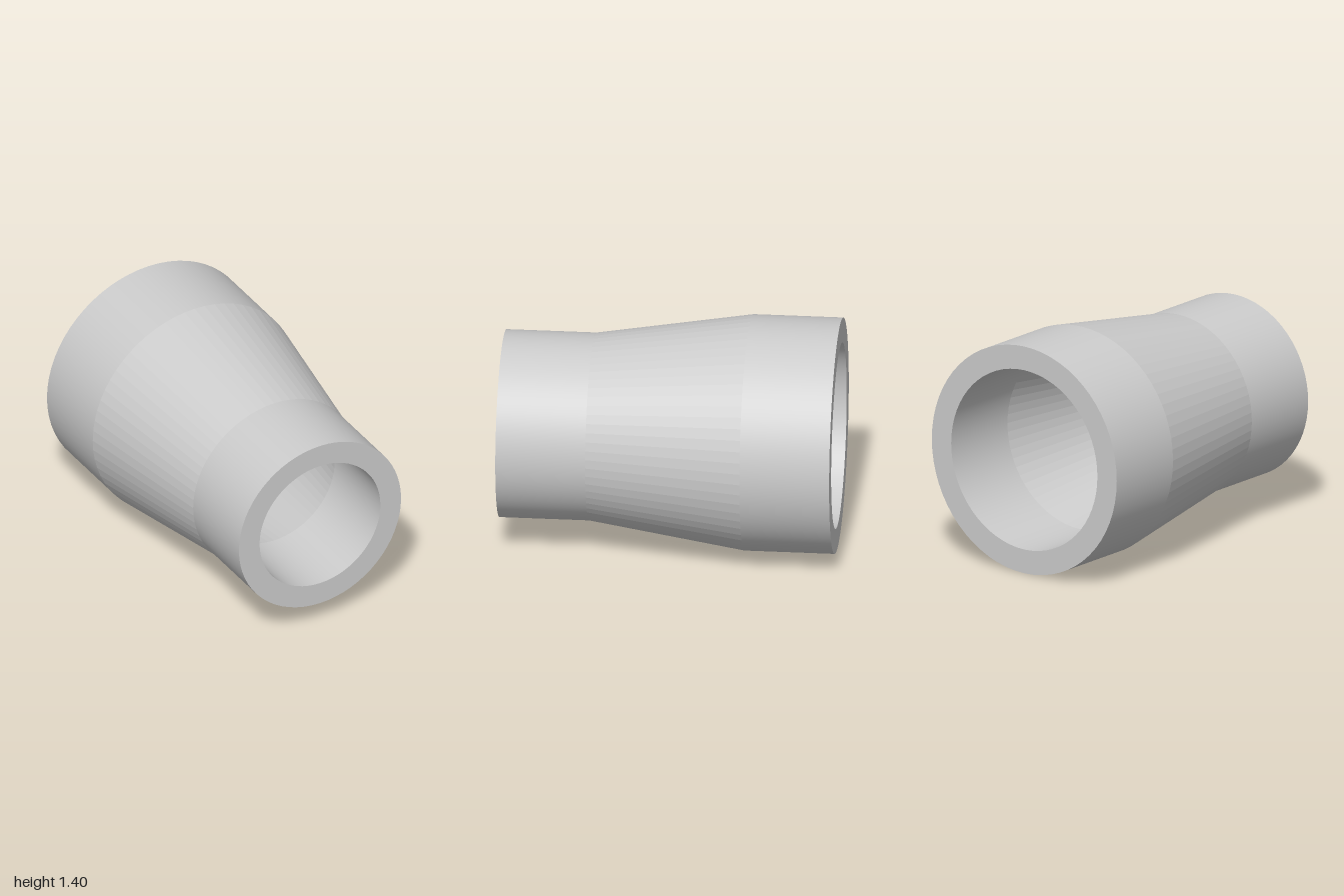
import * as THREE from 'three';

const SIDES = 64;
const OUTER_BACK = 0.702, OUTER_FRONT = 0.558;
const INNER_BACK = 0.555, INNER_FRONT = 0.416;
const END = 1, BEND = 0.465;

export function createModel() {
  const model = new THREE.Group();
  model.name = 'pipeReducer';
  const smooth = new THREE.MeshStandardMaterial({ color: 0xcccccc });
  const faceted = new THREE.MeshStandardMaterial({ color: 0xcccccc, flatShading: true });

  // One band of the wall, swept around the z axis from (r0, z0) to (r1, z1)
  function band(name, r0, z0, r1, z1, material) {
    const profile = [new THREE.Vector2(r0, z0), new THREE.Vector2(r1, z1)];
    const geometry = new THREE.LatheGeometry(profile, SIDES).rotateX(Math.PI / 2);
    const mesh = new THREE.Mesh(geometry, material);
    mesh.name = name;
    mesh.position.y = OUTER_BACK;
    model.add(mesh);
  }

  // Outside, from the wide back end to the narrow front end
  band('wideCollar', OUTER_BACK, -END, OUTER_BACK, -BEND, smooth);
  band('taper', OUTER_BACK, -BEND, OUTER_FRONT, BEND, faceted);
  band('narrowCollar', OUTER_FRONT, BEND, OUTER_FRONT, END, smooth);

  // Front rim, bore and back rim
  band('frontRim', OUTER_FRONT, END, INNER_FRONT, END, smooth);
  band('narrowBore', INNER_FRONT, END, INNER_FRONT, BEND, smooth);
  band('taperBore', INNER_FRONT, BEND, INNER_BACK, -BEND, faceted);
  band('wideBore', INNER_BACK, -BEND, INNER_BACK, -END, smooth);
  band('backRim', INNER_BACK, -END, OUTER_BACK, -END, smooth);

  return model;
}
